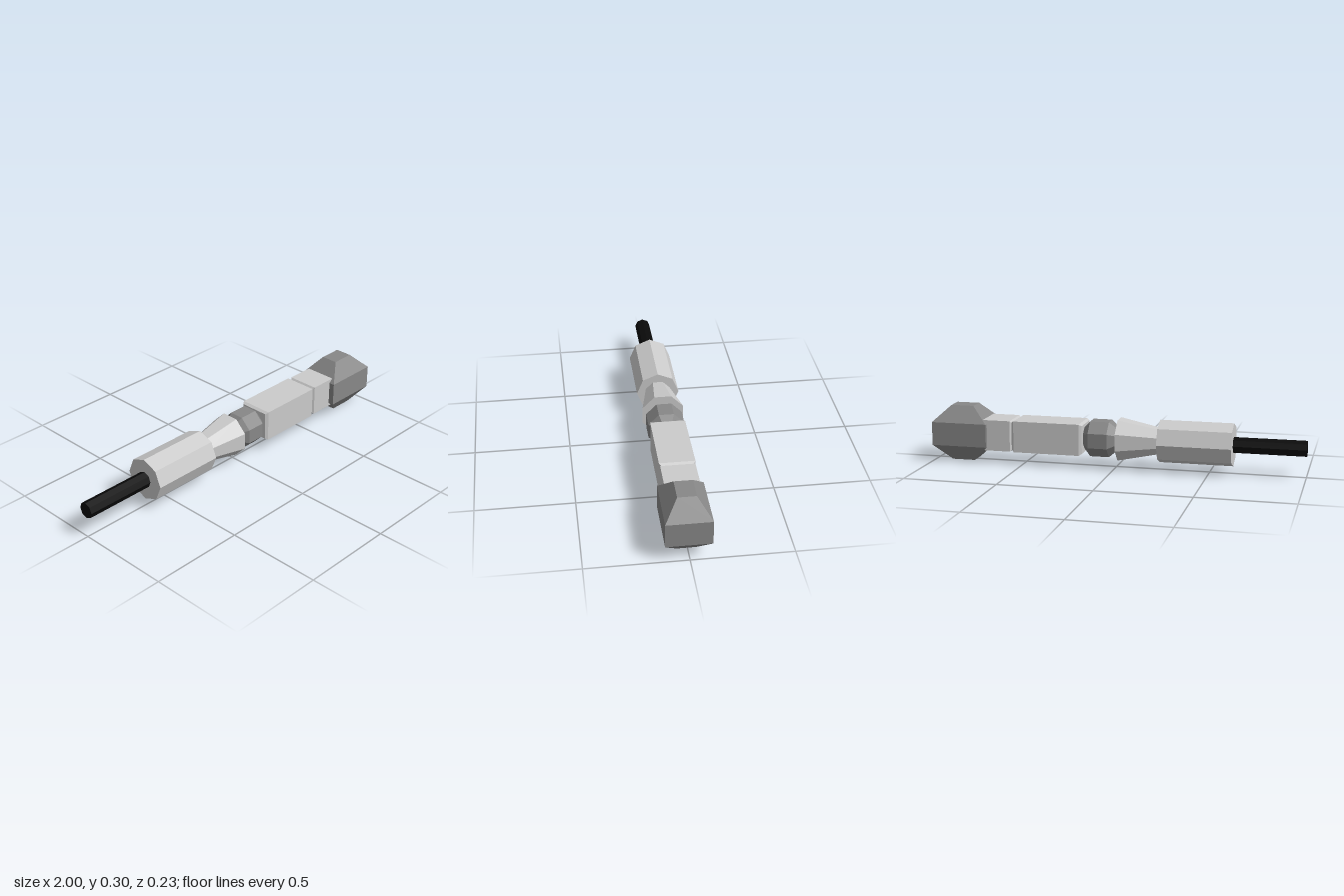
import * as THREE from 'three';

const AXIS_Y = 0.152;

const material = (color) => new THREE.MeshStandardMaterial({ color, flatShading: true });
const grey = material(0xcccccc);
const darkGrey = material(0x888888);
const black = material(0x0a0a0a);

// Faceted solid from [position, half width] stations.
// With flats = true the half width is measured to the flat sides, otherwise to the corners.
function facetedSolid(stations, sides, flats) {
  const k = flats ? 1 / Math.cos(Math.PI / sides) : 1;
  const pts = stations.map(([p, r]) => new THREE.Vector2(r * k, p));
  pts.unshift(new THREE.Vector2(0, stations[0][0]));
  pts.push(new THREE.Vector2(0, stations[stations.length - 1][0]));
  return new THREE.LatheGeometry(pts, sides, flats ? Math.PI / sides : 0);
}

function part(name, geometry, mat) {
  const flat = geometry.toNonIndexed();
  flat.computeVertexNormals();
  const mesh = new THREE.Mesh(flat, mat);
  mesh.name = name;
  return mesh;
}

// Solid whose stations run along x, stretched in z by depth
function alongX(name, stations, sides, flats, mat, depth = 1) {
  const g = facetedSolid(stations, sides, flats);
  g.rotateZ(-Math.PI / 2).scale(1, 1, depth).translate(0, AXIS_Y, 0);
  return part(name, g, mat);
}

export function createModel() {
  const model = new THREE.Group();
  model.name = 'steeringLinkage';

  // Rod, octagonal sleeve and flared socket
  model.add(alongX('rod', [[-1, 0.042], [-0.61, 0.042]], 8, false, black));
  model.add(alongX('sleeve', [[-0.623, 0.114], [-0.235, 0.114]], 8, false, grey));
  model.add(alongX('flaredSocket', [[-0.25, 0.062], [-0.235, 0.065], [-0.015, 0.108]], 8, true, grey));

  // Faceted ball joint
  model.add(alongX('ballJoint',
    [[-0.015, 0.055], [0.033, 0.094], [0.135, 0.094], [0.172, 0.055]], 8, true, darkGrey));

  // Square blocks with chamfered ends
  model.add(alongX('longBlock',
    [[0.17, 0.075], [0.185, 0.084], [0.545, 0.084], [0.562, 0.07]], 4, true, grey, 1.07));
  model.add(alongX('shortBlock',
    [[0.555, 0.07], [0.567, 0.083], [0.76, 0.083]], 4, true, grey, 1.04));

  // Head: box with a truncated pyramid above and below
  const head = facetedSolid([[0, 0.0625], [0.088, 0.1525], [0.214, 0.1525], [0.3, 0.0625]], 4, true);
  head.scale(1, 1, 0.737).translate(0.8475, 0, 0.005);
  model.add(part('head', head, darkGrey));

  return model;
}
